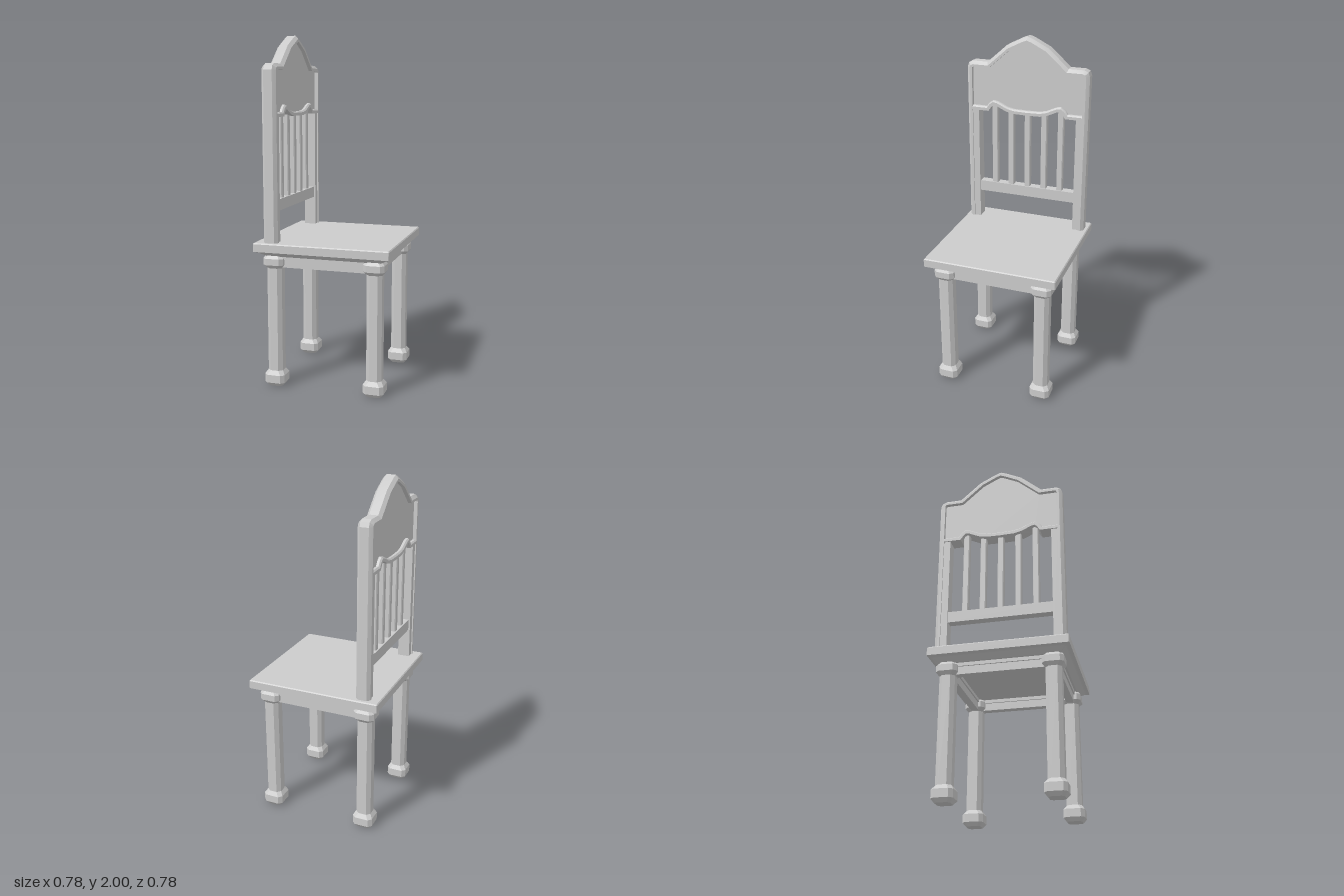
import * as THREE from 'three';
import { toCreasedNormals } from 'three/addons/utils/BufferGeometryUtils.js';

const material = new THREE.MeshStandardMaterial({ color: 0xcccccc });
const BACK_X = -0.297; // centre plane of the backrest
const LEG = 0.293;     // leg offset from the centre

// Skin a row of convex rings (counterclockwise about the travel direction) and cap both ends.
function skin(rings) {
  const pos = [], index = [], n = rings[0].length, last = (rings.length - 1) * n;
  rings.forEach(r => r.forEach(p => pos.push(...p)));
  for (let i = 0; i < rings.length - 1; i++) for (let j = 0; j < n; j++) {
    const a = i * n + j, b = i * n + (j + 1) % n;
    index.push(a, b, b + n, a, b + n, a + n);
  }
  for (let j = 1; j < n - 1; j++) {
    index.push(0, j + 1, j);
    index.push(last, last + j, last + j + 1);
  }
  const g = new THREE.BufferGeometry();
  g.setAttribute('position', new THREE.Float32BufferAttribute(pos, 3));
  g.setIndex(index);
  return toCreasedNormals(g, 0.35);
}

// Upright square column with chamfered corners; sections are [y, half width, chamfer].
function column(sections) {
  return skin(sections.map(([y, h, c]) => {
    const k = h - c;
    return [[h, k], [k, h], [-k, h], [-h, k], [-h, -k], [-k, -h], [k, -h], [h, -k]]
      .map(([x, z]) => [x, y, -z]);
  }));
}

// Offset a [z, y] path to its inner side with mitred corners.
function offsetPath(path, d) {
  const dir = (a, b) => {
    const l = Math.hypot(b[0] - a[0], b[1] - a[1]);
    return [(b[0] - a[0]) / l, (b[1] - a[1]) / l];
  };
  return path.map((p, i) => {
    const t1 = dir(path[Math.max(i - 1, 0)], path[Math.max(i, 1)]);
    const e = path.length - 1;
    const t2 = dir(path[Math.min(i, e - 1)], path[Math.min(i + 1, e)]);
    const nz = t1[1] + t2[1], ny = -(t1[0] + t2[0]);
    const s = d / (1 + t1[0] * t2[0] + t1[1] * t2[1]);
    return [p[0] + nz * s, p[1] + ny * s];
  });
}

// Sweep a profile of [inward offset, x] points along a [z, y] path.
function sweep(path, profile) {
  const lines = profile.map(([u]) => offsetPath(path, u));
  return skin(path.map((_, i) => profile.map(([, x], k) => [x, lines[k][i][1], lines[k][i][0]])));
}

// Mirror a half path that runs from the outer end to z = 0.
const mirrored = half => [
  ...half.map(([z, y]) => [-z, y]),
  ...half.slice(0, -1).reverse(),
];

export function createModel() {
  const chair = new THREE.Group();
  chair.name = 'chair';
  const add = (name, geometry, x = 0, y = 0, z = 0, parent = chair) => {
    const m = new THREE.Mesh(geometry, material);
    m.name = name;
    m.position.set(x, y, z);
    parent.add(m);
    return m;
  };
  const box = (x, y, z) => new THREE.BoxGeometry(x, y, z);

  // Seat with a stepped moulding underneath
  add('seat', column([
    [0.765, 0.335, 0.004], [0.785, 0.365, 0.004], [0.79, 0.372, 0.004],
    [0.796, 0.392, 0.004], [0.84, 0.392, 0.004], [0.846, 0.387, 0.004],
  ]));

  // Legs with flared feet and capitals
  const legGeometry = column([
    [0, 0.042, 0.014], [0.022, 0.06, 0.02], [0.068, 0.06, 0.02], [0.092, 0.044, 0.021],
    [0.695, 0.044, 0.021], [0.715, 0.06, 0.02], [0.752, 0.06, 0.02], [0.772, 0.046, 0.018],
  ]);
  for (const [end, sx] of [['front', 1], ['back', -1]])
    for (const [side, sz] of [['Left', -1], ['Right', 1]])
      add(`${end}${side}Leg`, legGeometry, sx * LEG, 0, sz * LEG);

  // Apron rails between the legs, each with a wider upper strip
  for (const s of [1, -1]) {
    add('sideApron', box(2 * LEG, 0.07, 0.044), 0, 0.735, s * LEG);
    add('sideApronStrip', box(2 * LEG, 0.024, 0.06), 0, 0.757, s * LEG);
    add('endApron', box(0.044, 0.07, 2 * LEG), s * LEG, 0.735, 0);
    add('endApronStrip', box(0.06, 0.024, 2 * LEG), s * LEG, 0.757, 0);
  }

  // Backrest, built around its own centre plane
  const back = new THREE.Group();
  back.name = 'backrest';
  back.position.x = BACK_X;
  chair.add(back);

  // Outer frame: posts and pointed crest in one chamfered band
  const outline = mirrored([
    [0.37, 0.84], [0.37, 1.8], [0.36, 1.825], [0.335, 1.836], [0.245, 1.836],
    [0.125, 1.942], [0.035, 1.987], [0, 2],
  ]);
  add('backFrame', sweep(outline, [
    [0, -0.025], [0.018, -0.042], [0.032, -0.042], [0.032, 0.042], [0.018, 0.042], [0, 0.025],
  ]), 0, 0, 0, back);

  // Wavy rail under the crest panel
  const wave = mirrored([
    [0.345, 1.57], [0.25, 1.57], [0.235, 1.592], [0.21, 1.61], [0.18, 1.605],
    [0.12, 1.577], [0.08, 1.568], [0, 1.566],
  ]);
  add('wavyRail', sweep(wave, [
    [0, -0.034], [0.008, -0.042], [0.025, -0.042], [0.025, 0.042], [0.008, 0.042], [0, 0.034],
  ]), 0, 0, 0, back);

  // Recessed crest panel filling the space between frame and wavy rail
  const crest = offsetPath(outline, 0.025).slice(1, -1);
  const rim = [...crest, ...offsetPath(wave, 0.012).reverse()];
  const panelGeometry = new THREE.ExtrudeGeometry(
    new THREE.Shape(rim.map(([z, y]) => new THREE.Vector2(-z, y))),
    { depth: 0.04, bevelEnabled: false });
  panelGeometry.translate(0, 0, -0.02).rotateY(Math.PI / 2);
  add('crestPanel', panelGeometry, 0, 0, 0, back);

  // Inner halves of the posts, up to the wavy rail
  for (const s of [1, -1])
    add('innerPost', box(0.07, 0.72, 0.042), 0, 1.2, s * 0.321, back);

  // Lower rail and slats
  add('lowerRail', box(0.05, 0.065, 0.62), 0, 1.051, 0, back);
  for (const z of [-0.205, -0.103, 0, 0.103, 0.205]) {
    const top = Math.abs(z) > 0.2 ? 1.595 : 1.56;
    add('slat', column([[1.07, 0.018, 0.005], [top, 0.018, 0.005]]), 0, 0, z, back);
  }
  return chair;
}
